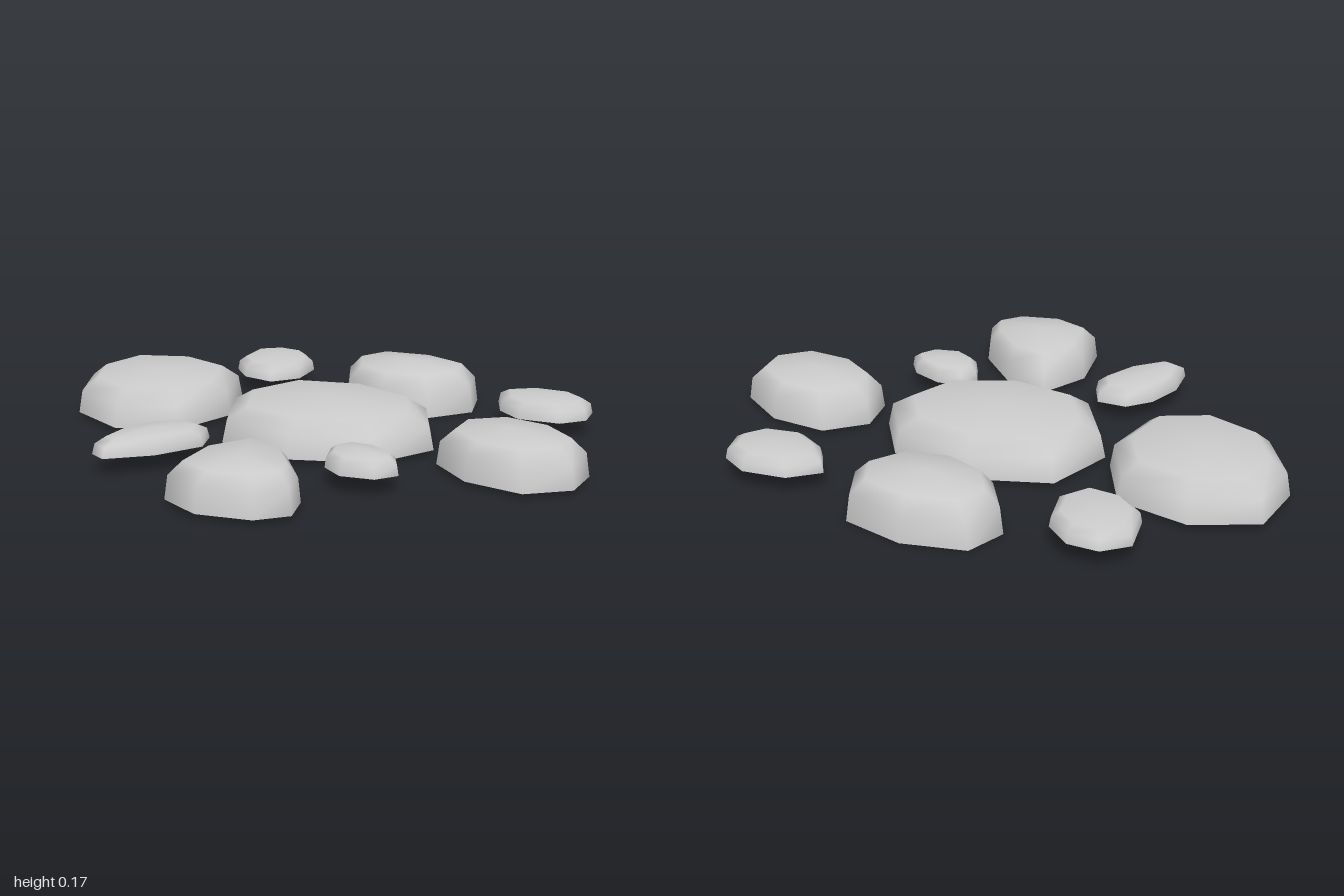
import * as THREE from 'three';

const material = new THREE.MeshStandardMaterial({ color: 0xcccccc, side: THREE.DoubleSide });

// Domed shell profile: [scale of the outline, share of the height]
const RINGS = [[1, 0], [0.955, 0.55], [0.76, 0.86]];

// Open-bottomed stone: the outline (x, z pairs, clockwise from above) shrinks ring by ring to a peak
function stone(name, base, top, outline) {
  const n = outline.length;
  const cx = outline.reduce((s, p) => s + p[0], 0) / n;
  const cz = outline.reduce((s, p) => s + p[1], 0) / n;
  const positions = [];
  const index = [];

  for (const [scale, rise] of RINGS) {
    for (const [x, z] of outline) {
      positions.push(cx + (x - cx) * scale, base + (top - base) * rise, cz + (z - cz) * scale);
    }
  }
  const peak = RINGS.length * n;
  positions.push(cx, top, cz);

  for (let i = 0; i < n; i++) {
    const j = (i + 1) % n;
    // Side bands
    for (let r = 0; r < RINGS.length - 1; r++) {
      const low = r * n, up = low + n;
      index.push(up + i, up + j, low + j, up + i, low + j, low + i);
    }
    // Crown
    index.push(peak, peak - n + j, peak - n + i);
  }

  const geometry = new THREE.BufferGeometry();
  geometry.setAttribute('position', new THREE.Float32BufferAttribute(positions, 3));
  geometry.setIndex(index);
  geometry.computeVertexNormals();
  const mesh = new THREE.Mesh(geometry, material);
  mesh.name = name;
  return mesh;
}

export function createModel() {
  const group = new THREE.Group();
  group.name = 'steppingStones';

  // Large stones resting on the ground
  group.add(stone('centreStone', 0.015, 0.162,
    [[-0.16, -0.385], [0.13, -0.3], [0.34, -0.04], [0.33, 0.23], [0.12, 0.385], [-0.18, 0.33], [-0.4, 0.11], [-0.38, -0.2]]));
  group.add(stone('backRightStone', 0.015, 0.162,
    [[-0.765, -0.81], [-0.52, -0.77], [-0.34, -0.56], [-0.38, -0.27], [-0.56, -0.07], [-0.79, -0.1], [-0.94, -0.33], [-0.92, -0.61]]));
  group.add(stone('backLeftStone', 0, 0.168,
    [[0.2, -0.81], [0.41, -0.72], [0.56, -0.53], [0.52, -0.34], [0.35, -0.26], [0.17, -0.34], [0.06, -0.51], [0.07, -0.71]]));
  group.add(stone('frontLeftStone', 0.015, 0.162,
    [[0.4, 0.235], [0.575, 0.2], [0.74, 0.345], [0.815, 0.565], [0.74, 0.72], [0.57, 0.755], [0.4, 0.61], [0.325, 0.4]]));
  group.add(stone('frontRightStone', 0.015, 0.162,
    [[-0.285, 0.435], [-0.17, 0.575], [-0.135, 0.82], [-0.165, 0.96], [-0.285, 1], [-0.465, 0.93], [-0.565, 0.775], [-0.465, 0.55]]));

  // Small, thinner stones between them
  group.add(stone('backPebble', 0.06, 0.124,
    [[-0.29, -0.98], [-0.18, -1], [-0.09, -0.93], [-0.06, -0.8], [-0.12, -0.65], [-0.23, -0.6], [-0.33, -0.69], [-0.36, -0.82]]));
  group.add(stone('leftPebble', 0.06, 0.124,
    [[0.61, -0.27], [0.74, -0.29], [0.88, -0.21], [0.93, -0.09], [0.89, 0.02], [0.79, 0.06], [0.65, -0.01], [0.6, -0.13]]));
  group.add(stone('rightPebble', 0.06, 0.124,
    [[-0.64, 0.165], [-0.53, 0.135], [-0.44, 0.2], [-0.46, 0.32], [-0.615, 0.425], [-0.785, 0.465], [-0.825, 0.4], [-0.755, 0.265]]));
  group.add(stone('frontPebble', 0.06, 0.124,
    [[0.03, 0.44], [0.115, 0.49], [0.18, 0.6], [0.18, 0.69], [0.1, 0.73], [-0.01, 0.685], [-0.055, 0.585], [-0.035, 0.475]]));

  return group;
}
